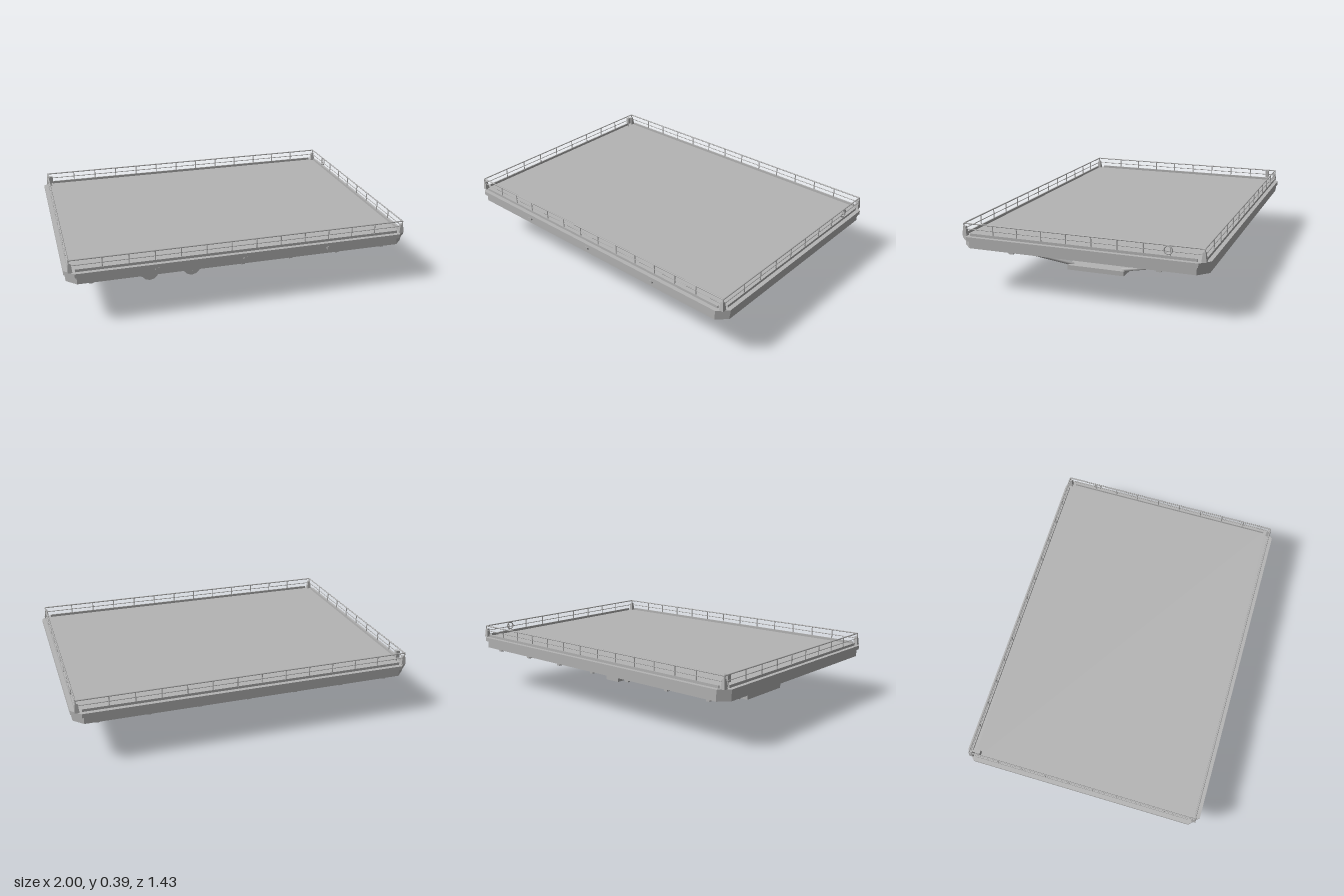
import * as THREE from 'three';

export function createModel() {
  const model = new THREE.Group();
  const grey = new THREE.MeshStandardMaterial({ color: 0xb4b4b4 });
  grey.name = 'plain grey';

  const add = (name, geometry, x = 0, y = 0, z = 0) => {
    const mesh = new THREE.Mesh(geometry, grey);
    mesh.name = name;
    mesh.position.set(x, y, z);
    model.add(mesh);
    return mesh;
  };

  // Box given by its centre in x and z, and its bottom and top heights
  const box = (name, x, z, w, d, y0, y1) =>
    add(name, new THREE.BoxGeometry(w, y1 - y0, d), x, (y0 + y1) / 2, z);

  // Round bar between two points
  const bar = (name, a, b, radius, sides = 6) => {
    const from = new THREE.Vector3(...a), to = new THREE.Vector3(...b);
    const dir = to.clone().sub(from);
    const mesh = add(name, new THREE.CylinderGeometry(radius, radius, dir.length(), sides));
    mesh.position.copy(from).add(to).multiplyScalar(0.5);
    mesh.quaternion.setFromUnitVectors(new THREE.Vector3(0, 1, 0), dir.normalize());
    return mesh;
  };

  // Flat slab with cut corners
  const slab = (name, hx, hz, cut, y0, y1) => {
    const shape = new THREE.Shape([
      [-hx + cut, -hz], [hx - cut, -hz], [hx, -hz + cut], [hx, hz - cut],
      [hx - cut, hz], [-hx + cut, hz], [-hx, hz - cut], [-hx, -hz + cut],
    ].map(([x, z]) => new THREE.Vector2(x, z)));
    const geometry = new THREE.ExtrudeGeometry(shape, { depth: y1 - y0, bevelEnabled: false });
    geometry.rotateX(-Math.PI / 2);
    add(name, geometry, 0, y0, 0);
  };

  // Deck
  slab('hull', 0.99, 0.705, 0.055, 0.252, 0.294);
  slab('deckRim', 1, 0.715, 0.055, 0.294, 0.318);
  for (const x of [-0.5, 0, 0.5]) box('frontLug', x, 0.709, 0.02, 0.016, 0.28, 0.296);

  // Toe boards, railings and corner posts
  const rx = 0.972, rz = 0.687, top = 0.388, mid = 0.357;
  for (const s of [-1, 1]) {
    box('toeBoard', 0, s * rz, 1.88, 0.008, 0.318, 0.333);
    box('toeBoard', s * rx, 0, 0.008, 1.3, 0.318, 0.333);
    for (const [y, r] of [[top, 0.004], [mid, 0.0025]]) {
      bar('rail', [-rx, y, s * rz], [rx, y, s * rz], r);
      bar('rail', [s * rx, y, -rz], [s * rx, y, rz], r);
    }
    for (let i = -6; i < 6; i++) {
      const x = (i + 0.5) * 0.1444;
      bar('railPost', [x, 0.318, s * rz], [x, top, s * rz], 0.0032);
    }
    for (let i = -4; i < 4; i++) {
      const z = (i + 0.5) * 0.145;
      bar('railPost', [s * rx, 0.318, z], [s * rx, top, z], 0.0032);
    }
    for (const t of [-1, 1]) {
      bar('cornerRailPost', [s * rx, 0.318, t * rz], [s * rx, top, t * rz], 0.004);
      const post = new THREE.CylinderGeometry(0.011, 0.019, 0.052, 4).toNonIndexed();
      post.rotateY(Math.PI / 4);
      post.computeVertexNormals();
      add('cornerBollard', post, s * 0.967, 0.344, t * 0.683);
    }
  }

  // Rail fittings
  add('lifeRing', new THREE.TorusGeometry(0.022, 0.004, 8, 20), 0.974, 0.362, -0.495)
    .rotation.y = Math.PI / 2;
  box('controlBox', -0.953, -0.635, 0.022, 0.022, 0.343, 0.386);
  bar('controlBoxPost', [-0.953, 0.318, -0.635], [-0.953, 0.345, -0.635], 0.004);

  // Beams under the deck
  const bay = 2 / 7;
  for (let i = -3; i <= 3; i++) box('crossBeam', i * bay, 0, 0.022, 1.344, 0.23, 0.253);
  for (const s of [-1, 1]) box('longBeam', 0, s * 0.43, 1.85, 0.03, 0.22, 0.243);

  // Inclined truss struts down to the hanging platform
  for (const s of [-1, 1]) {
    const strut = (xTop, xLow, zTop, r) =>
      bar('trussStrut', [xTop, 0.228, s * zTop], [xLow, 0.128, s * 0.145], r, 8);
    strut(-3 * bay, -2.5 * bay, 0.43, 0.01);
    for (let i = -3; i < 3; i++) strut((i + 1) * bay, (i + 0.5) * bay, 0.43, 0.01);
    for (const x of [-0.5, -0.145, 0.212, 0.57]) strut(x, x, 0.36, 0.007);
  }

  // Hanging platform
  box('platform', 0, 0, 1.5, 0.34, 0.105, 0.132);
  box('platformBase', 0, 0, 1.28, 0.196, 0.07, 0.106);

  // Cone with a thin probe
  add('probeCone', new THREE.ConeGeometry(0.07, 0.036, 24), 0.428, 0.052, 0);
  bar('probe', [0.428, 0, 0], [0.428, 0.04, 0], 0.0022);

  // Drum tanks on brackets
  for (const x of [-0.5, -0.25]) {
    const drum = new THREE.CylinderGeometry(0.052, 0.052, 0.17, 12).toNonIndexed();
    drum.rotateX(Math.PI / 2);
    drum.computeVertexNormals();
    add('drumTank', drum, x, 0.15, 0.387);
    for (const z of [0.45, 0.33]) box('drumBracket', x, z, 0.03, 0.02, 0.19, 0.253);
  }

  // Equipment box under the rear beam
  box('equipmentBox', 0.032, -0.435, 0.13, 0.1, 0.178, 0.222);
  box('equipmentBase', 0.032, -0.435, 0.095, 0.07, 0.14, 0.18);

  // Slack hoses hanging below the deck
  for (const [x0, x1, z] of [[-0.77, -0.13, 0.245], [0.25, 0.87, -0.212]]) {
    const points = [];
    for (let i = 0; i <= 8; i++) {
      const t = i / 4 - 1;
      points.push(new THREE.Vector3((x0 + x1) / 2 + t * (x1 - x0) / 2, 0.163 + 0.07 * t * t, z));
    }
    const path = new THREE.CatmullRomCurve3(points);
    add('hose', new THREE.TubeGeometry(path, 32, 0.0025, 6));
  }

  return model;
}
